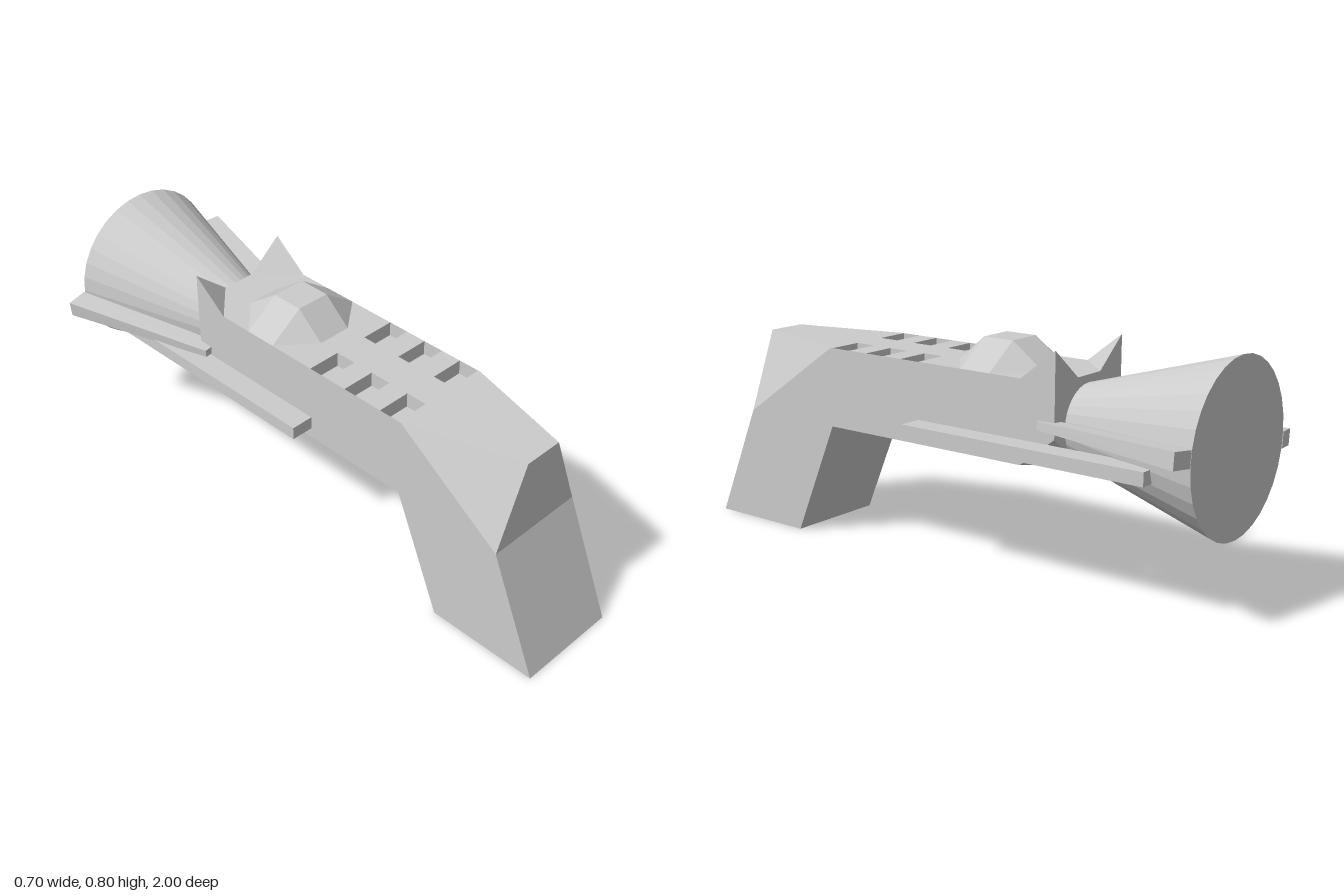
import * as THREE from 'three';

const material = new THREE.MeshStandardMaterial({ color: 0xcccccc, flatShading: true, side: THREE.DoubleSide });

// Collects four-cornered faces (split along a-c) into one flat-shaded mesh
function faceBuilder() {
  const pos = [];
  return {
    quad(a, b, c, d) { pos.push(...a, ...b, ...c, ...a, ...c, ...d); },
    mesh(name) {
      const g = new THREE.BufferGeometry();
      g.setAttribute('position', new THREE.Float32BufferAttribute(pos, 3));
      g.computeVertexNormals();
      return named(g, name);
    },
  };
}

function named(geometry, name) {
  const m = new THREE.Mesh(geometry, material);
  m.name = name;
  return m;
}

// Solid between two four-cornered sections, counter-clockwise seen from the second
function loft(a, b, name) {
  const f = faceBuilder();
  for (let i = 0; i < 4; i++) {
    const j = (i + 1) % 4;
    f.quad(a[i], a[j], b[j], b[i]);
  }
  f.quad(a[3], a[2], a[1], a[0]);
  f.quad(...b, );
  return f.mesh(name);
}

const X = [-0.175, -0.055, 0.066, 0.187];
const X0 = X[0], X1 = X[3];
const LOW = 0.4, TOP = 0.672, BACK = -0.48;

// Main hull: a grid deck with sunken bays, raised bridge and pointed rear corners
function hull() {
  const f = faceBuilder();
  const Z = [0.44, 0.43, 0.355, 0.28, 0.205, 0.13, 0.055, -0.02, -0.118, -0.232, -0.352, BACK];
  const last = Z.length - 1;
  const outer = (i) => i === 0 || i === 3;
  const deckY = (i, k) => {
    if (outer(i)) return k === last ? 0.772 : TOP;
    return k === 8 || k === 9 ? 0.757 : TOP;
  };
  // keep the crease away from the one corner that differs
  const cell = (a, b, c, d) => {
    if (Math.abs(a[1] - c[1]) >= Math.abs(b[1] - d[1])) f.quad(b, c, d, a);
    else f.quad(a, b, c, d);
  };
  // deck
  for (let k = 0; k < last; k++) for (let i = 0; i < 3; i++) {
    const c = [[i, k + 0], [i + 1, k], [i + 1, k + 1], [i, k + 1]]
      .map(([p, q]) => [X[p], deckY(p, q), Z[q]]);
    if (i !== 1 && [1, 3, 5].includes(k)) {
      const low = c.map(([x, y, z]) => [x, y - 0.05, z]);
      f.quad(...low);
      for (let n = 0; n < 4; n++) {
        const m = (n + 1) % 4;
        f.quad(c[n], c[m], low[m], low[n]);
      }
    } else cell(...c);
  }
  // underside, with the rear corners swept up
  const B = [0.44, -0.352, BACK];
  const bellyY = (i, k) => (outer(i) && k === 2 ? 0.5 : LOW);
  for (let k = 0; k < 2; k++) for (let i = 0; i < 3; i++) {
    cell(...[[i, k + 1], [i + 1, k + 1], [i + 1, k], [i, k]]
      .map(([p, q]) => [X[p], bellyY(p, q), B[q]]));
  }
  // sides
  for (const [i, x] of [[0, X0], [3, X1]]) for (let k = 0; k < 2; k++) {
    const top = (q) => (q === 2 ? deckY(i, last) : TOP);
    const q = [[x, bellyY(i, k), B[k]], [x, bellyY(i, k + 1), B[k + 1]],
      [x, top(k + 1), B[k + 1]], [x, top(k), B[k]]];
    f.quad(...(i ? q : q.reverse()));
  }
  // rear wall
  for (let i = 0; i < 3; i++) {
    f.quad([X[i + 1], bellyY(i + 1, 2), BACK], [X[i], bellyY(i, 2), BACK],
      [X[i], deckY(i, last), BACK], [X[i + 1], deckY(i + 1, last), BACK]);
  }
  return f.mesh('hull');
}

// Tapered front section between hull and bow
function neck() {
  const f = faceBuilder();
  const side = (x, xt) => ({
    bf: [x, LOW, 0.83], bb: [x, LOW, 0.44], tb: [x, TOP, 0.44], tf: [xt, 0.676, 0.83],
  });
  const l = side(X1, 0.08), r = side(X0, -0.06);
  f.quad(l.bf, l.bb, l.tb, l.tf);
  f.quad(r.bf, r.tf, r.tb, r.bb);
  f.quad(r.bf, l.bf, l.tf, r.tf);
  f.quad(r.tf, l.tf, l.tb, r.tb);
  return f.mesh('neck');
}

export function createModel() {
  const model = new THREE.Group();
  model.name = 'spaceship';
  model.add(hull(), neck());

  // Bow leaning forward and down
  const slab = (y, zBack, zFront) =>
    [[X0, y, zFront], [X1, y, zFront], [X1, y, zBack], [X0, y, zBack]];
  model.add(loft(slab(0, 0.61, 1), slab(LOW, 0.44, 0.83), 'bow'));

  // Engine cone, wide end at the rear
  const cone = new THREE.CylinderGeometry(0.115, 0.277, 0.56, 32);
  cone.rotateX(Math.PI / 2).translate(0.006, 0.521, -0.72);
  model.add(named(cone, 'engineCone'));

  // Straight side rails
  for (const s of [-1, 1]) {
    const rail = named(new THREE.BoxGeometry(0.08, 0.044, 0.9), s > 0 ? 'leftRail' : 'rightRail');
    rail.position.set(0.006 + s * 0.221, 0.459, -0.393);
    model.add(rail);
  }

  // Flared struts along the cone, one turned half round from the other
  const far = [[0.275, 0.521, -1], [0.35, 0.527, -0.985], [0.345, 0.58, -0.985], [0.27, 0.573, -1]];
  const near = [[0.14, 0.522, -0.43], [0.202, 0.526, -0.425], [0.2, 0.552, -0.425], [0.14, 0.547, -0.43]];
  const strut = loft(far, near, 'leftStrut');
  const other = strut.clone();
  other.name = 'rightStrut';
  other.rotation.z = Math.PI;
  other.position.y = 2 * 0.519;
  model.add(strut, other);

  return model;
}
